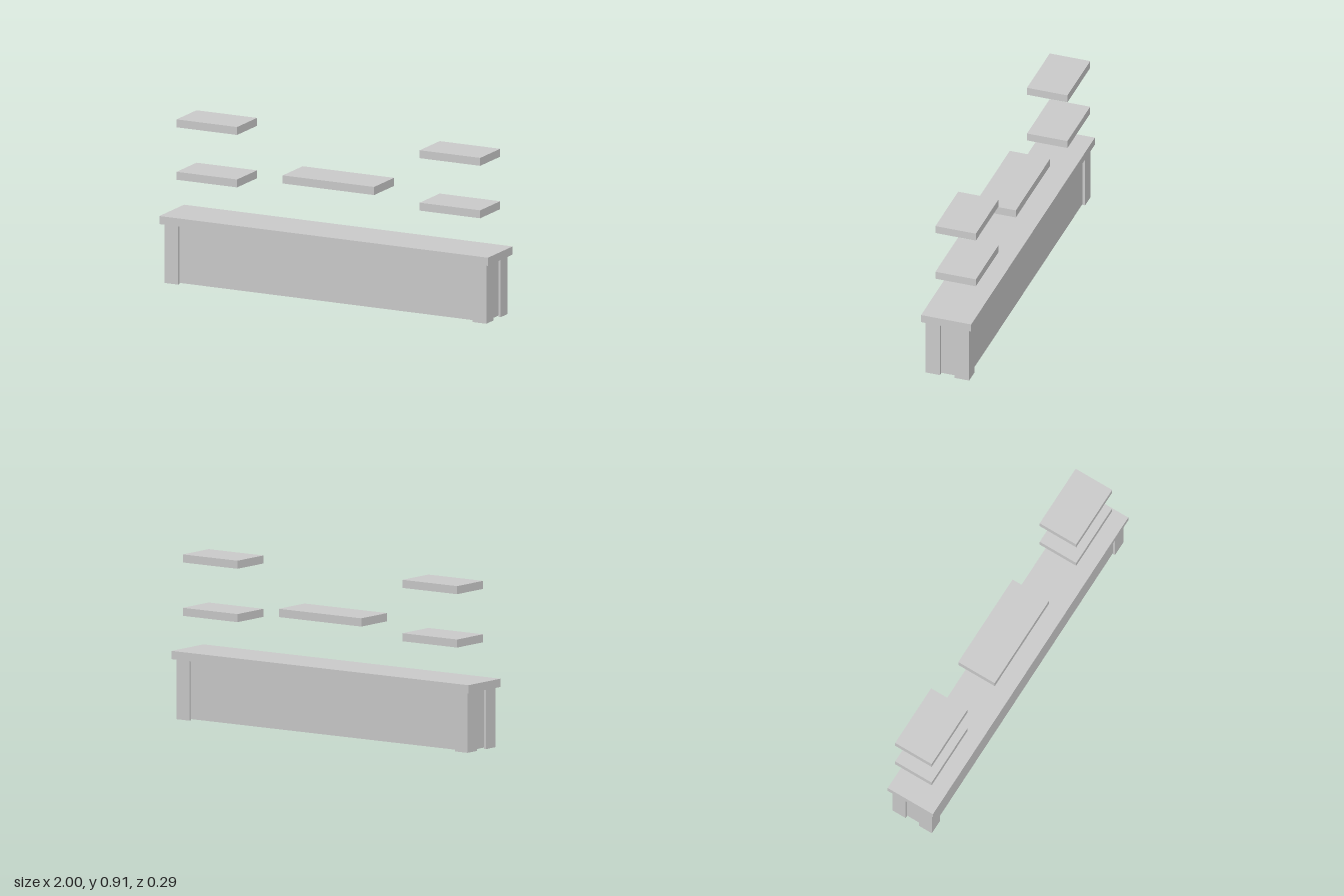
import * as THREE from 'three';

const material = new THREE.MeshStandardMaterial({ color: 0xcccccc, flatShading: true });
const shellMaterial = new THREE.MeshStandardMaterial({ color: 0xcccccc, flatShading: true, side: THREE.DoubleSide });

// Solid slab given by its limits on each axis
function slab(name, [x0, x1], [y0, y1], [z0, z1]) {
  const mesh = new THREE.Mesh(new THREE.BoxGeometry(x1 - x0, y1 - y0, z1 - z0), material);
  mesh.position.set((x0 + x1) / 2, (y0 + y1) / 2, (z0 + z1) / 2);
  mesh.name = name;
  return mesh;
}

// Upright thin wall following a line of [x, z] points
function wall(name, points, bottom, top) {
  const positions = [];
  for (let i = 0; i < points.length - 1; i++) {
    const [ax, az] = points[i], [bx, bz] = points[i + 1];
    positions.push(ax, bottom, az, bx, bottom, bz, bx, top, bz);
    positions.push(ax, bottom, az, bx, top, bz, ax, top, az);
  }
  const geometry = new THREE.BufferGeometry();
  geometry.setAttribute('position', new THREE.Float32BufferAttribute(positions, 3));
  geometry.computeVertexNormals();
  const mesh = new THREE.Mesh(geometry, shellMaterial);
  mesh.name = name;
  return mesh;
}

export function createModel() {
  const group = new THREE.Group();
  const underside = 0.328;

  // Counter top
  group.add(slab('counterTop', [-1, 1], [underside, 0.373], [-0.143, 0.143]));

  // Hollow base, open below: four projecting corner posts
  const post = [[0.895, 0.11], [0.895, 0.124], [0.98, 0.124], [0.98, 0.042], [0.966, 0.042]];
  const corners = [[1, 1], [1, -1], [-1, -1], [-1, 1]].map(([sx, sz]) => {
    const points = post.map(([x, z]) => [x * sx, z * sz]);
    return sx * sz < 0 ? points.reverse() : points;
  });
  const panelNames = ['leftPanel', 'backPanel', 'rightPanel', 'frontPanel'];
  corners.forEach((points, i) => {
    group.add(wall('cornerPost', points, 0, underside));
    // Recessed panel running on to the next post
    const next = corners[(i + 1) % 4];
    group.add(wall(panelNames[i], [points[4], next[0]], 0.007, underside));
  });

  // Floating shelves
  const depth = [-0.143, 0.088];
  group.add(slab('middleShelf', [-0.278, 0.278], [0.625, 0.67], depth));
  for (const y of [[0.571, 0.615], [0.862, 0.906]]) {
    group.add(slab('leftShelf', [0.556, 0.924], y, depth));
    group.add(slab('rightShelf', [-0.924, -0.556], y, depth));
  }
  return group;
}
